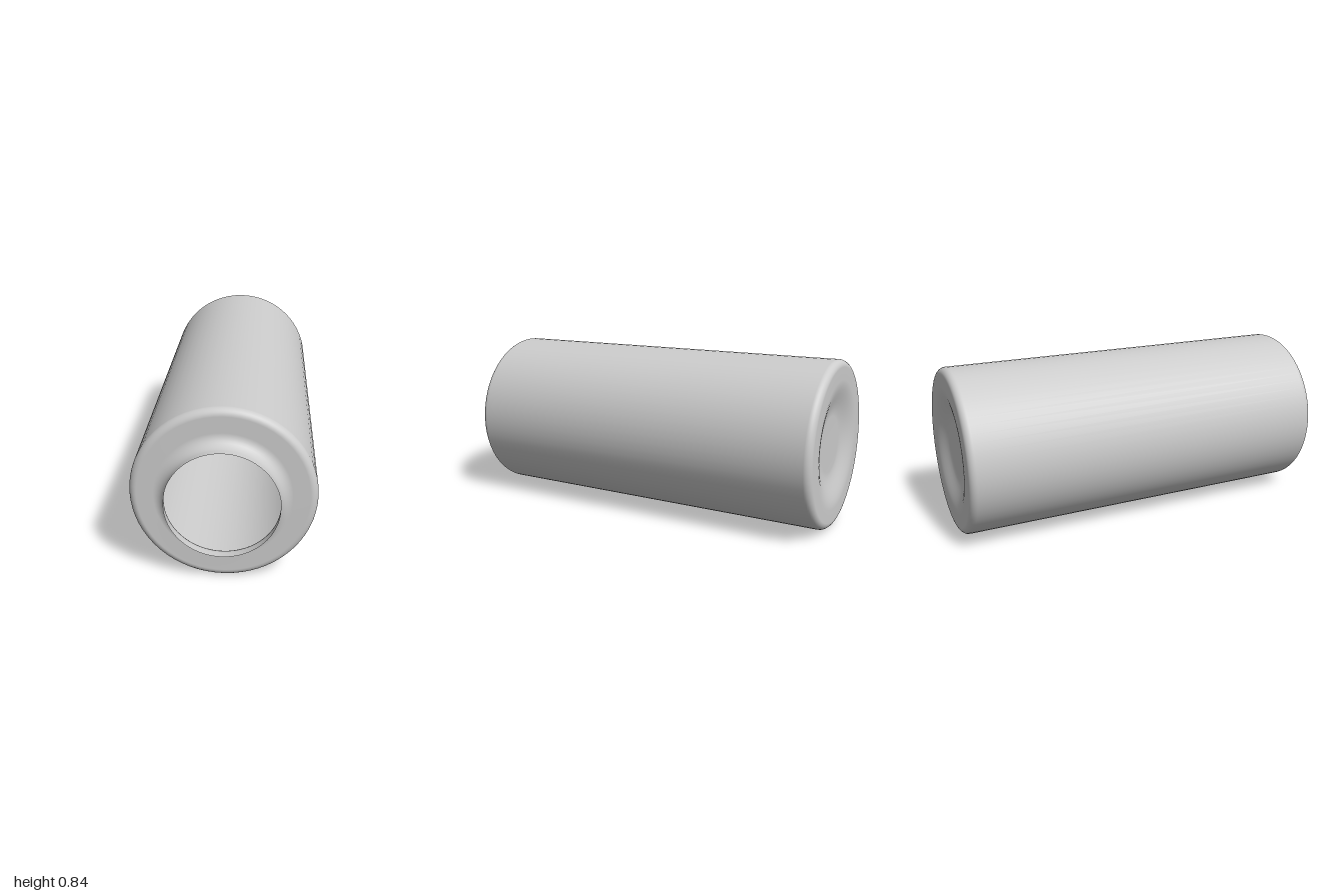
import * as THREE from 'three';

// Points along a quarter arc about (cx, cy), from angle a to angle b
function arc(cx, cy, r, a, b, steps = 8) {
  return Array.from({ length: steps + 1 }, (_, i) => {
    const t = a + (b - a) * i / steps;
    return new THREE.Vector2(cx + r * Math.cos(t), cy + r * Math.sin(t));
  });
}

export function createModel() {
  const group = new THREE.Group();
  group.name = 'bottle';
  const grey = new THREE.MeshStandardMaterial({ color: 0xcccccc, side: THREE.DoubleSide });
  grey.name = 'grey';

  const R = 0.42, edge = 0.035, neckR = 0.255, fillet = 0.055;
  const back = -1, shoulder = 0.915, dent = 0.04;
  const H = Math.PI / 2;

  // Dished base: flat centre easing out to a flat rim
  const base = [new THREE.Vector2(0, back + dent)];
  for (let i = 0; i <= 8; i++) {
    const t = i / 8, s = t * t * (3 - 2 * t);
    base.push(new THREE.Vector2(0.14 + 0.18 * t, back + dent * (1 - s)));
  }

  // Thin open shell: base, rounded edges, wall, shoulder, flared neck
  const profile = [
    ...base,
    ...arc(R - edge, back + edge, edge, -H, 0),
    ...arc(R - edge, shoulder - edge, edge, 0, H),
    ...arc(neckR + fillet, shoulder + fillet, fillet, -H, -2 * H),
    new THREE.Vector2(neckR, 1),
  ];
  const shell = new THREE.Mesh(new THREE.LatheGeometry(profile, 64), grey);
  shell.name = 'bottleShell';
  shell.rotation.x = H;
  shell.position.y = R;
  group.add(shell);
  return group;
}
